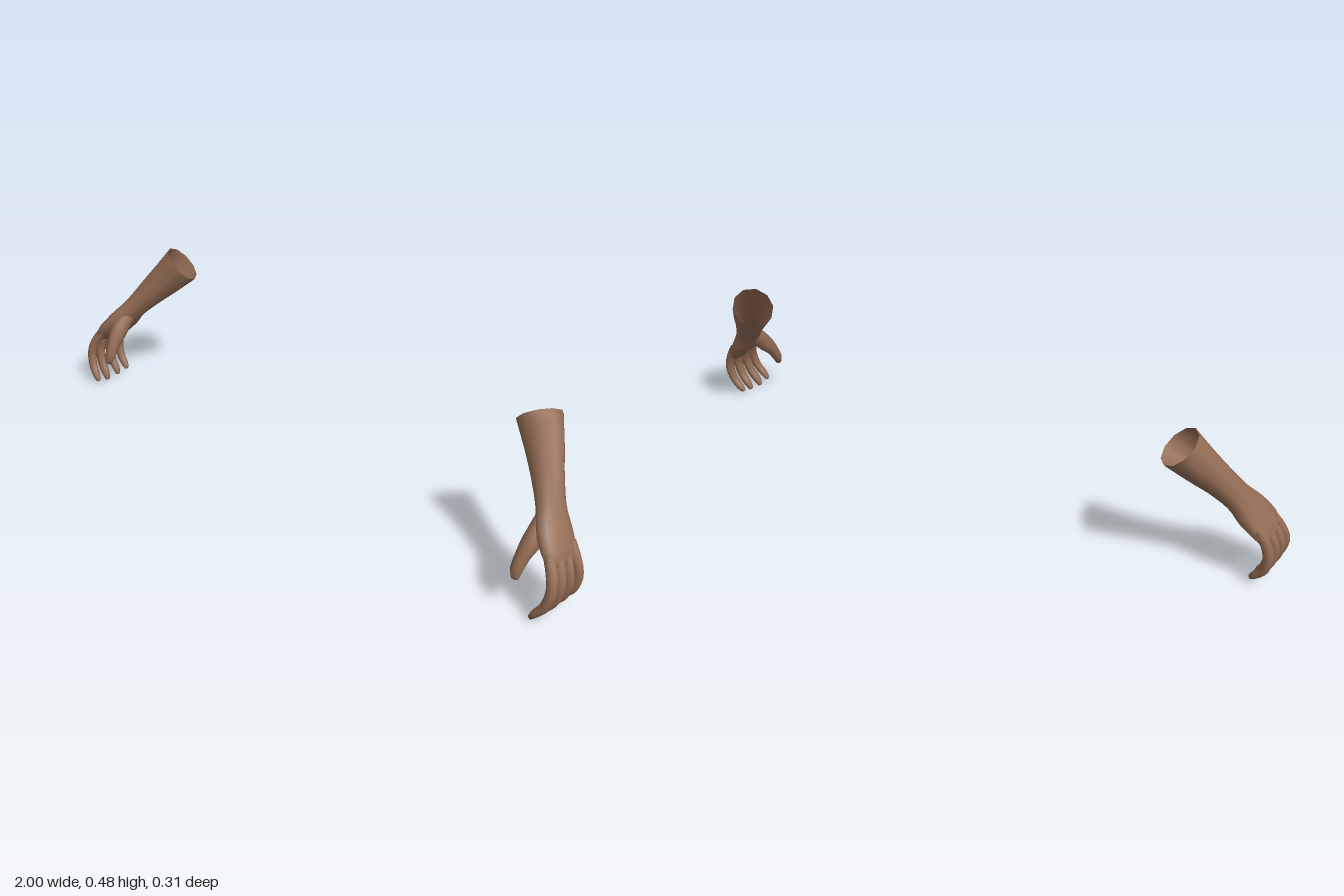
import * as THREE from 'three';

const SIDES = 10;
const ACROSS = new THREE.Vector3(-0.05, 0.22, 0.97); // direction across the knuckles

// Smooth tube through sections [x, y, z, half width, half thickness], rounded at its far end
function limb(sections, steps) {
  const path = new THREE.CatmullRomCurve3(sections.map(s => new THREE.Vector3(s[0], s[1], s[2])));
  const size = new THREE.CatmullRomCurve3(sections.map(s => new THREE.Vector3(s[3], s[4], 0)));
  const pos = [], index = [];
  const d = new THREE.Vector3();
  for (let i = 0; i <= steps; i++) {
    const t = i / steps;
    const c = path.getPoint(t), r = size.getPoint(t);
    path.getTangent(t, d);
    const w = ACROSS.clone().addScaledVector(d, -ACROSS.dot(d)).normalize();
    const n = d.clone().cross(w);
    for (let j = 0; j < SIDES; j++) {
      const a = j / SIDES * Math.PI * 2;
      const p = c.clone().addScaledVector(w, Math.cos(a) * r.x).addScaledVector(n, Math.sin(a) * r.y);
      pos.push(p.x, p.y, p.z);
      if (i < steps) {
        const k = i * SIDES + j, m = i * SIDES + (j + 1) % SIDES;
        index.push(k, m, k + SIDES, m, m + SIDES, k + SIDES);
      }
    }
  }
  // Fingertip or web cap
  const last = sections[sections.length - 1];
  const tip = new THREE.Vector3(last[0], last[1], last[2]).addScaledVector(d, last[4] * 0.4);
  pos.push(tip.x, tip.y, tip.z);
  const base = steps * SIDES;
  for (let j = 0; j < SIDES; j++) index.push(base + j, base + (j + 1) % SIDES, base + SIDES);
  const g = new THREE.BufferGeometry();
  g.setAttribute('position', new THREE.Float32BufferAttribute(pos, 3));
  g.setIndex(index);
  g.computeVertexNormals();
  return g;
}

// Reflection across x, with corner order restored
function mirrored(geometry) {
  const g = geometry.clone().scale(-1, 1, 1);
  const idx = g.index.array;
  for (let i = 0; i < idx.length; i += 3) [idx[i], idx[i + 1]] = [idx[i + 1], idx[i]];
  g.computeVertexNormals();
  return g;
}

export function createModel() {
  const skin = new THREE.MeshStandardMaterial({ color: 0x946d55, side: THREE.DoubleSide });
  skin.name = 'skin';

  const parts = {
    // Open forearm narrowing to the wrist, then widening into the palm
    forearmAndPalm: limb([
      [0.743, 0.437, -0.095, 0.063, 0.066],
      [0.79, 0.38, -0.06, 0.053, 0.056],
      [0.835, 0.325, -0.022, 0.045, 0.045],
      [0.876, 0.272, 0.012, 0.045, 0.036],
      [0.91, 0.225, 0.038, 0.062, 0.033],
      [0.945, 0.183, 0.058, 0.067, 0.026],
      [0.966, 0.152, 0.066, 0.058, 0.016]], 18),
    thumb: limb([
      [0.884, 0.245, 0.045, 0.028, 0.026],
      [0.882, 0.2, 0.085, 0.028, 0.027],
      [0.876, 0.16, 0.116, 0.02, 0.021],
      [0.873, 0.125, 0.134, 0.015, 0.018],
      [0.876, 0.102, 0.142, 0.009, 0.011]], 12),
  };

  // Finger joints: z at knuckle, middle and tip; height of the tip; thickness
  const fingers = {
    indexFinger: [0.107, 0.131, 0.146, 0.014, 0.014],
    middleFinger: [0.078, 0.096, 0.107, 0.007, 0.0155],
    ringFinger: [0.048, 0.057, 0.062, 0.012, 0.0145],
    littleFinger: [0.016, 0.016, 0.024, 0.021, 0.014],
  };
  for (const [name, [z0, z1, z2, tipY, r]] of Object.entries(fingers)) {
    parts[name] = limb([
      [0.945, 0.19, z0 - 0.006, r * 1.15, r * 1.1],
      [0.972, 0.147, (z0 + z1) / 2, r * 1.1, r * 1.15],
      [0.983, 0.105, z1, r, r * 1.1],
      [0.972, 0.06, (z1 + z2) / 2, r * 0.92, r],
      [0.95, 0.026 + tipY * 0.4, z2 - 0.002, r * 0.85, r * 0.85],
      [0.937, tipY, z2, r * 0.5, r * 0.5]], 14);
  }

  const model = new THREE.Group();
  model.name = 'pairOfHands';
  for (const side of ['left', 'right']) {
    const arm = new THREE.Group();
    arm.name = side + 'Hand';
    for (const [name, g] of Object.entries(parts)) {
      const mesh = new THREE.Mesh(side === 'left' ? g : mirrored(g), skin);
      mesh.name = name;
      arm.add(mesh);
    }
    model.add(arm);
  }
  return model;
}
